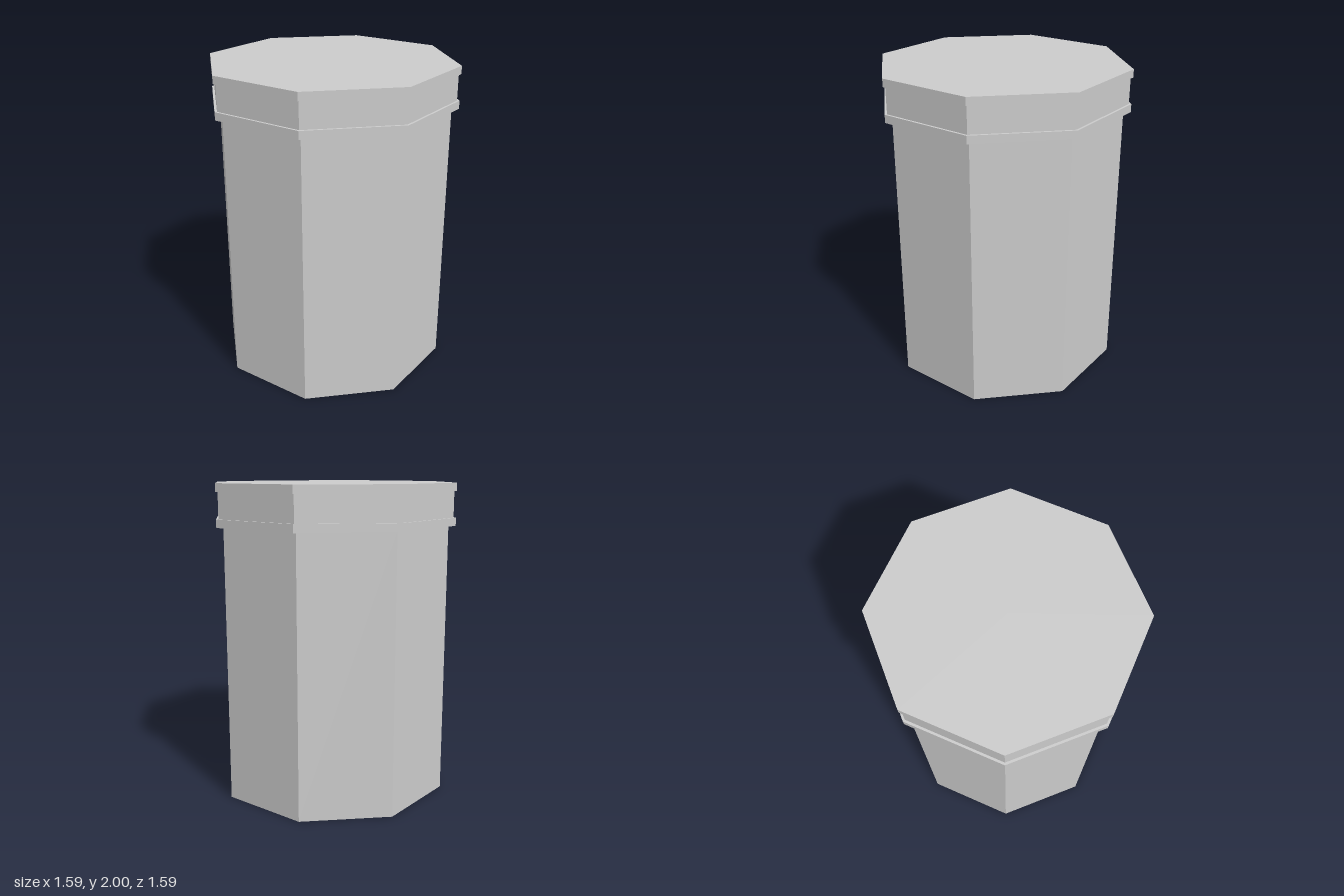
import * as THREE from 'three';

const SIDES = 8;

export function createModel() {
  const model = new THREE.Group();
  model.name = 'liddedCanister';
  const material = new THREE.MeshStandardMaterial({ color: 0xcccccc, flatShading: true });

  // Octagonal prism between two heights, with a corner facing the front
  const addPrism = (parent, name, radius, bottom, top) => {
    const geometry = new THREE.CylinderGeometry(radius, radius, top - bottom, SIDES);
    const mesh = new THREE.Mesh(geometry, material);
    mesh.name = name;
    mesh.position.y = (bottom + top) / 2;
    parent.add(mesh);
  };

  // Tall container
  addPrism(model, 'body', 0.75, 0, 1.737);

  // Lid: a recessed band between two projecting rims
  const lid = new THREE.Group();
  lid.name = 'lid';
  addPrism(lid, 'lowerRim', 0.795, 1.737, 1.787);
  addPrism(lid, 'lidBand', 0.78, 1.787, 1.95);
  addPrism(lid, 'upperRim', 0.795, 1.95, 2);
  model.add(lid);

  return model;
}
